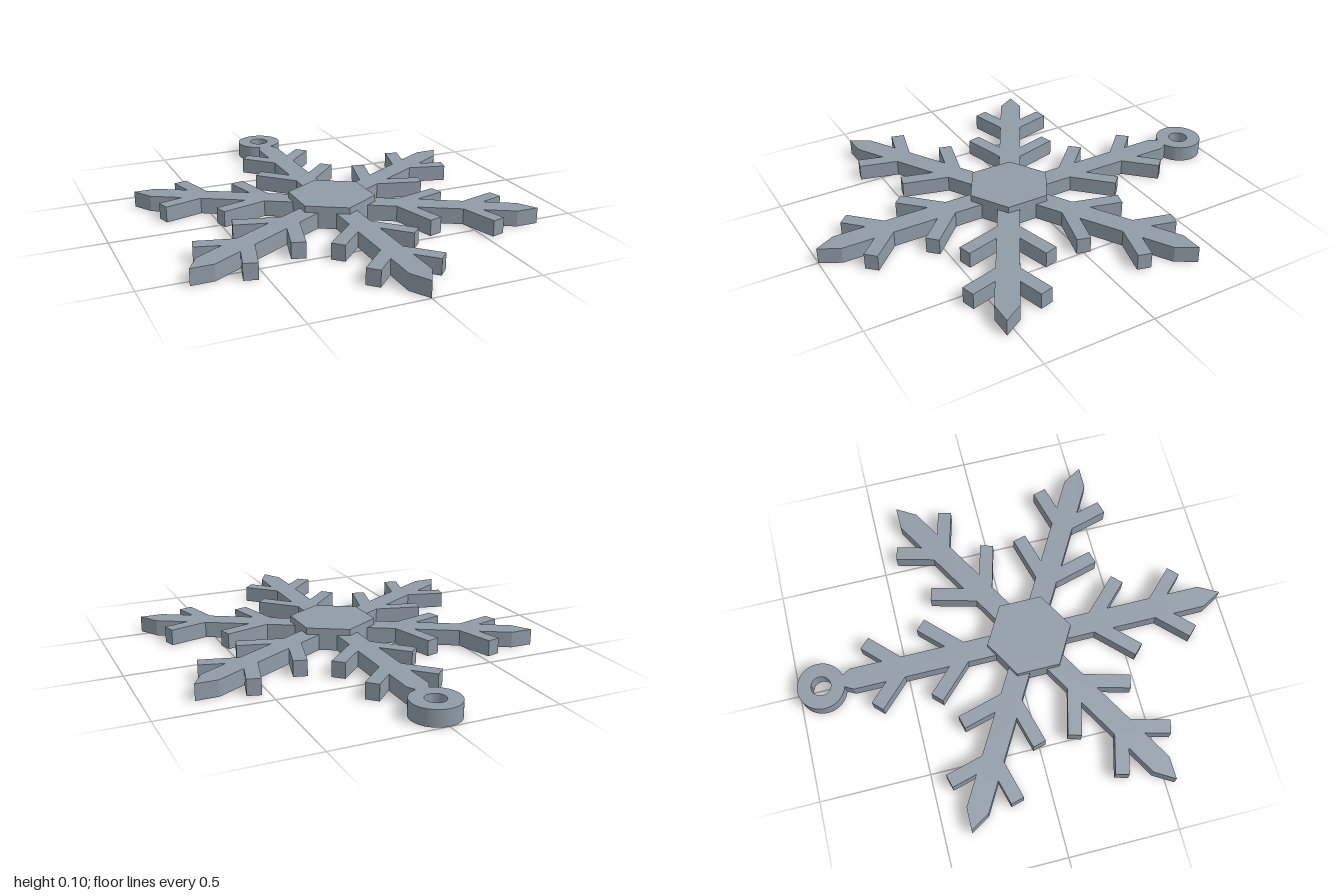
import * as THREE from 'three';
import { toCreasedNormals } from 'three/addons/utils/BufferGeometryUtils.js';

const CENTRE_Z = 0.08, HUB_R = 0.197, ARM_HALF = 0.05, THICK = 0.073;

// Extrude a plan shape upwards from height y0
function slab(name, shape, y0, height, z, material) {
  const geo = new THREE.ExtrudeGeometry(shape, { depth: height, bevelEnabled: false, curveSegments: 32 });
  geo.rotateX(-Math.PI / 2);
  const mesh = new THREE.Mesh(toCreasedNormals(geo, 0.5), material);
  mesh.name = name;
  mesh.position.set(0, y0, z);
  return mesh;
}

// Half of an arm from hub to tip: [distance along arm, sideways offset]
function halfArm() {
  const k = 0.022; // half branch width, resolved at 45 degrees
  const pts = [[HUB_R - ARM_HALF / Math.sqrt(3), ARM_HALF]];
  for (const [root, reach] of [[0.293, 0.18], [0.587, 0.155]]) {
    pts.push(
      [root + ARM_HALF - 2 * k, ARM_HALF],
      [root + reach - k, reach + k],
      [root + reach + k, reach - k],
      [root + ARM_HALF + 2 * k, ARM_HALF]);
  }
  pts.push([0.83, ARM_HALF]);
  return pts;
}

export function createModel() {
  const group = new THREE.Group();
  group.name = 'snowflakePendant';
  const metal = new THREE.MeshStandardMaterial({ color: 0x8f9ba6 });
  metal.name = 'blueGrey';

  // Six branched arms joined by the hub sides, as one outline
  const half = halfArm();
  const arm = [
    ...half.map(([u, v]) => [u, -v]),
    [0.92, 0],
    ...half.slice().reverse(),
  ];
  const outline = [];
  for (let i = 0; i < 6; i++) {
    const a = Math.PI / 2 + i * Math.PI / 3, c = Math.cos(a), s = Math.sin(a);
    for (const [u, v] of arm) outline.push(new THREE.Vector2(u * c - v * s, u * s + v * c));
  }
  group.add(slab('snowflakeArms', new THREE.Shape(outline), 0, THICK, CENTRE_Z, metal));

  // Raised hexagonal hub
  const hex = [];
  for (let i = 0; i < 6; i++) {
    const a = Math.PI / 2 + i * Math.PI / 3;
    hex.push(new THREE.Vector2(HUB_R * Math.cos(a), HUB_R * Math.sin(a)));
  }
  group.add(slab('raisedHub', new THREE.Shape(hex), THICK, 0.03, CENTRE_Z, metal));

  // Hanging ring at the end of the rear arm
  const ring = new THREE.Shape().absarc(0, 0, 0.108, 0, Math.PI * 2, false);
  ring.holes.push(new THREE.Path().absarc(0, 0, 0.045, 0, Math.PI * 2, true));
  group.add(slab('hangingRing', ring, 0, THICK, -0.892, metal));

  return group;
}
